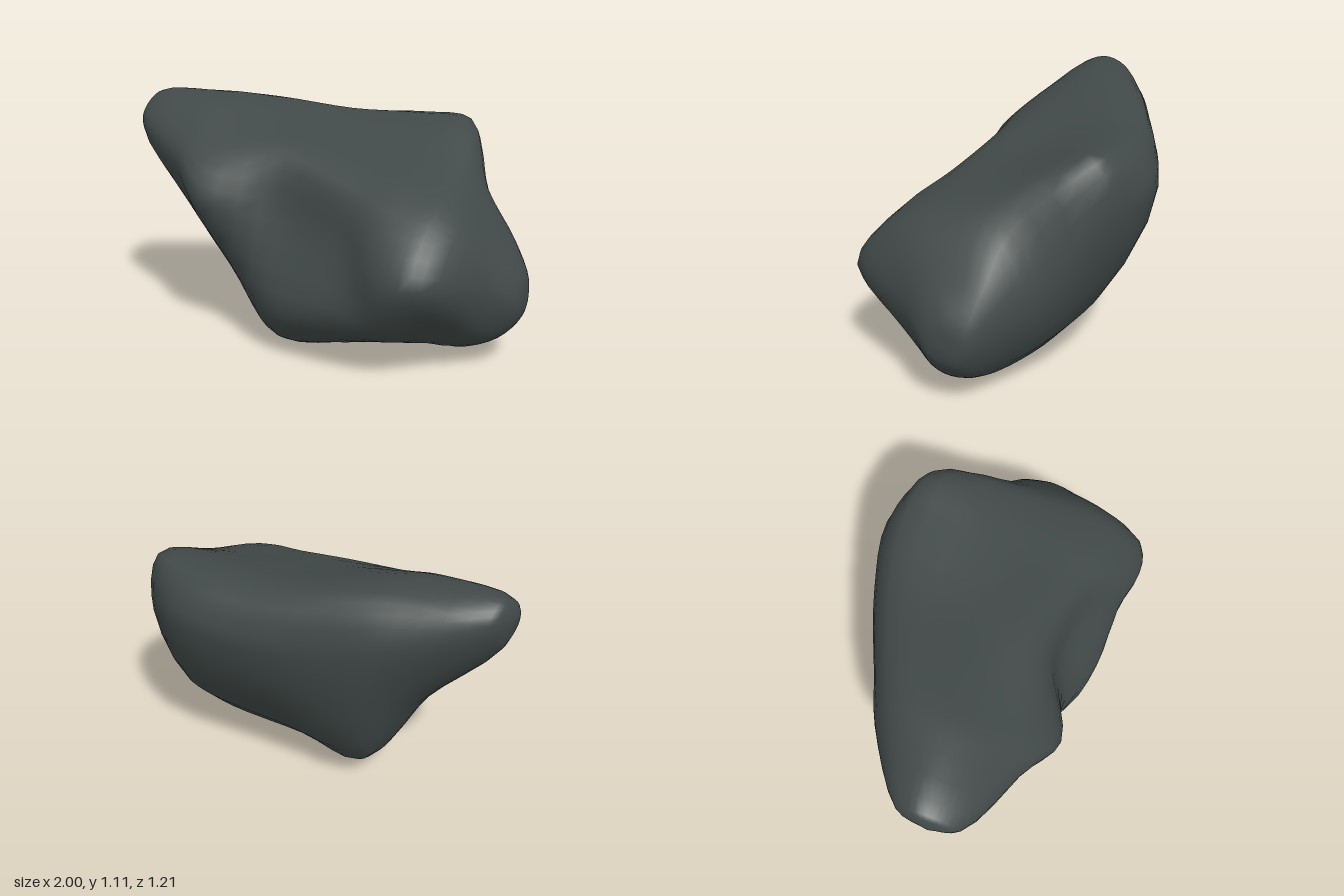
import * as THREE from 'three';
import { mergeVertices } from 'three/addons/utils/BufferGeometryUtils.js';

// Stations along x; each has 8 [z, y] points running from the top back edge,
// over the top to the front, under the bottom and up the back.
const stationX = [-0.96, -0.64, -0.42, -0.05, 0.3, 0.55, 0.74, 0.9, 0.985];
const outlines = [
  [[-0.08, 1.03], [0, 1.085], [0.1, 1.06], [0.18, 0.98], [0.17, 0.9], [0.07, 0.84], [-0.02, 0.88], [-0.08, 0.96]],
  [[-0.22, 1.05], [0, 1.09], [0.18, 1.01], [0.34, 0.85], [0.3, 0.65], [0.08, 0.47], [-0.16, 0.54], [-0.31, 0.87]],
  [[-0.32, 1.03], [-0.03, 1.05], [0.3, 0.9], [0.47, 0.68], [0.28, 0.36], [0.03, 0.1], [-0.17, 0.13], [-0.4, 0.78]],
  [[-0.44, 0.99], [-0.05, 0.96], [0.27, 0.87], [0.36, 0.58], [0.49, 0.23], [0.32, 0.01], [-0.14, 0.085], [-0.54, 0.76]],
  [[-0.49, 1.0], [0, 0.89], [0.34, 0.78], [0.44, 0.55], [0.55, 0.24], [0.27, 0.05], [-0.27, 0.16], [-0.605, 0.79]],
  [[-0.44, 0.99], [-0.05, 0.87], [0.42, 0.71], [0.6, 0.45], [0.5, 0.2], [0.2, 0.1], [-0.22, 0.13], [-0.5, 0.72]],
  [[-0.16, 0.73], [0.12, 0.74], [0.4, 0.66], [0.58, 0.46], [0.37, 0.23], [0.15, 0.07], [-0.09, 0.08], [-0.27, 0.42]],
  [[-0.1, 0.52], [0.06, 0.54], [0.2, 0.5], [0.26, 0.38], [0.17, 0.18], [0.08, 0.12], [-0.05, 0.14], [-0.15, 0.35]],
  [[-0.05, 0.37], [0.03, 0.41], [0.1, 0.38], [0.13, 0.32], [0.11, 0.25], [0.05, 0.22], [-0.02, 0.23], [-0.06, 0.3]],
];
const AROUND = 32, ALONG = 40;

function rockGeometry() {
  // Smooth closed ring at every station
  const rings = outlines.map((outline, i) => {
    const curve = new THREE.CatmullRomCurve3(
      outline.map(([z, y]) => new THREE.Vector3(stationX[i], y, z)), true);
    return Array.from({ length: AROUND }, (_, j) => curve.getPoint(j / AROUND));
  });
  // Closing points at both tips
  const leftTip = new THREE.Vector3(-1, 0.99, 0.06);
  const rightTip = new THREE.Vector3(1, 0.31, 0.06);

  // Smooth rails from tip to tip
  const positions = [], indices = [];
  for (let j = 0; j < AROUND; j++) {
    const rail = new THREE.CatmullRomCurve3([leftTip, ...rings.map((ring) => ring[j]), rightTip]);
    for (let i = 0; i <= ALONG; i++) positions.push(...rail.getPoint(i / ALONG).toArray());
  }
  // Skin between neighbouring rails, with single triangles at the tips
  const row = ALONG + 1;
  for (let j = 0; j < AROUND; j++) {
    for (let i = 0; i < ALONG; i++) {
      const a = j * row + i, c = ((j + 1) % AROUND) * row + i;
      if (i > 0) indices.push(a, c, a + 1);
      if (i < ALONG - 1) indices.push(a + 1, c, c + 1);
    }
  }
  const geometry = new THREE.BufferGeometry();
  geometry.setAttribute('position', new THREE.Float32BufferAttribute(positions, 3));
  geometry.setIndex(indices);
  const merged = mergeVertices(geometry, 1e-4);
  merged.computeVertexNormals();
  return merged;
}

export function createModel() {
  const group = new THREE.Group();
  group.name = 'boulder';
  const stone = new THREE.MeshStandardMaterial({ color: 0x414948 });
  stone.name = 'dark stone';
  const rock = new THREE.Mesh(rockGeometry(), stone);
  rock.name = 'rock';
  // Rest the rock on the ground
  rock.geometry.computeBoundingBox();
  rock.position.y = -rock.geometry.boundingBox.min.y;
  group.add(rock);
  return group;
}
